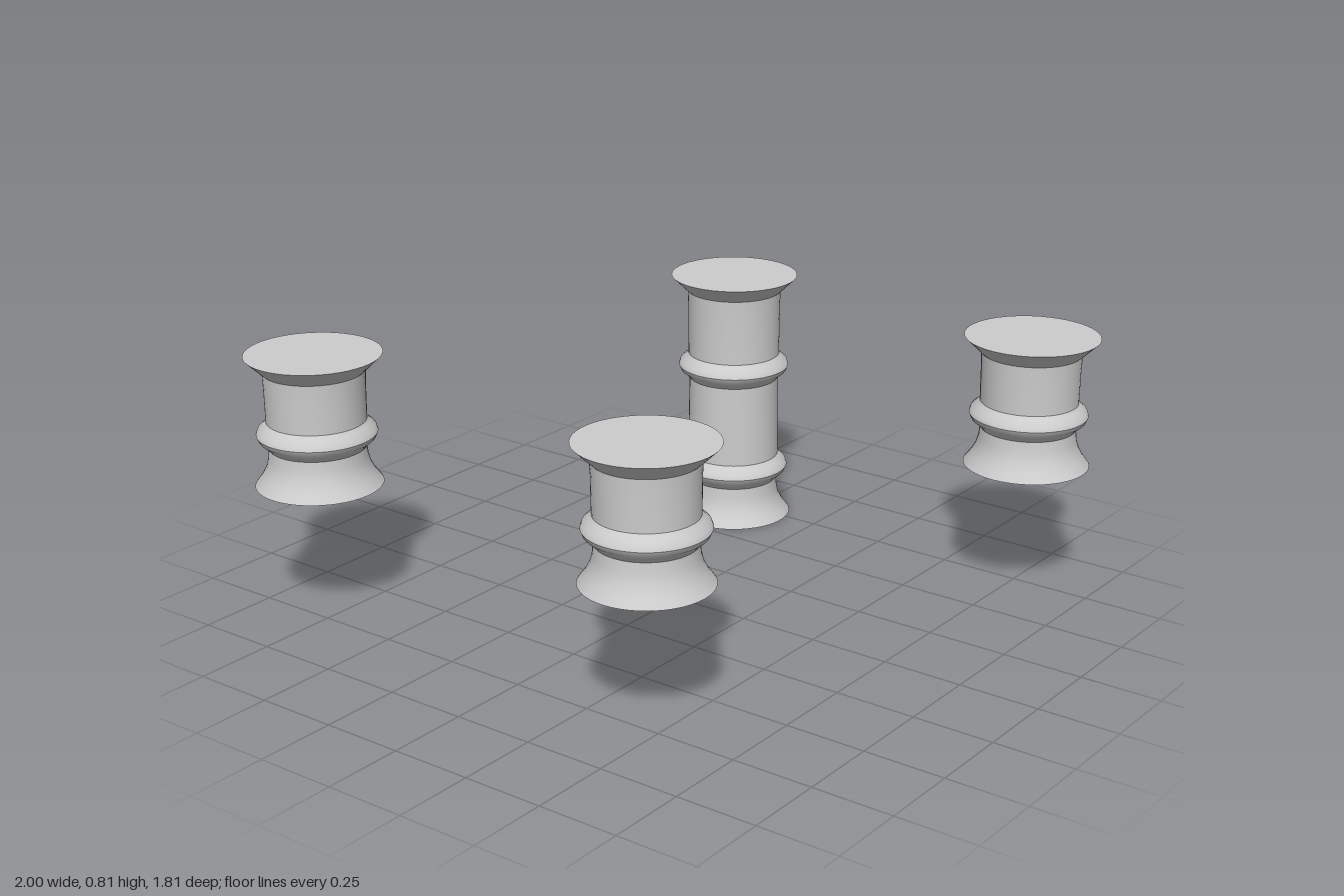
import * as THREE from 'three';
import { toCreasedNormals } from 'three/addons/utils/BufferGeometryUtils.js';

const stone = new THREE.MeshStandardMaterial({ color: 0xcccccc });
stone.name = 'pale stone';

const TOP = 0.815;

// One turned pillar: flared foot, shaft with raised rings, flared flat capital
function makePillar(name, x, z, base, ringHeights) {
  const profile = [
    [0, base], [0.19, base], [0.168, base + 0.03], [0.154, base + 0.058], [0.147, base + 0.085],
  ];
  for (const y of ringHeights) {
    profile.push(
      [0.144, y - 0.045], [0.155, y - 0.032], [0.172, y - 0.018], [0.179, y - 0.002],
      [0.174, y + 0.012], [0.158, y + 0.026], [0.148, y + 0.038],
    );
  }
  profile.push([0.149, 0.72], [0.151, 0.765], [0.159, 0.772], [0.203, TOP], [0, TOP]);

  const lathe = new THREE.LatheGeometry(profile.map(([r, y]) => new THREE.Vector2(r, y)), 48);
  lathe.deleteAttribute('uv');
  const pillar = new THREE.Mesh(toCreasedNormals(lathe, 0.6), stone);
  pillar.name = name;
  pillar.position.set(x, 0, z);
  return pillar;
}

export function createModel() {
  const model = new THREE.Group();
  model.name = 'pillars';
  // Three short pillars share one raised base level; the tall one reaches the ground
  model.add(
    makePillar('frontRightPillar', -0.797, 0.703, 0.413, [0.575]),
    makePillar('frontLeftPillar', 0.428, 0.703, 0.413, [0.575]),
    makePillar('backLeftPillar', 0.795, -0.703, 0.413, [0.575]),
    makePillar('tallPillar', -0.297, -0.703, 0, [0.168, 0.515]),
  );
  return model;
}
